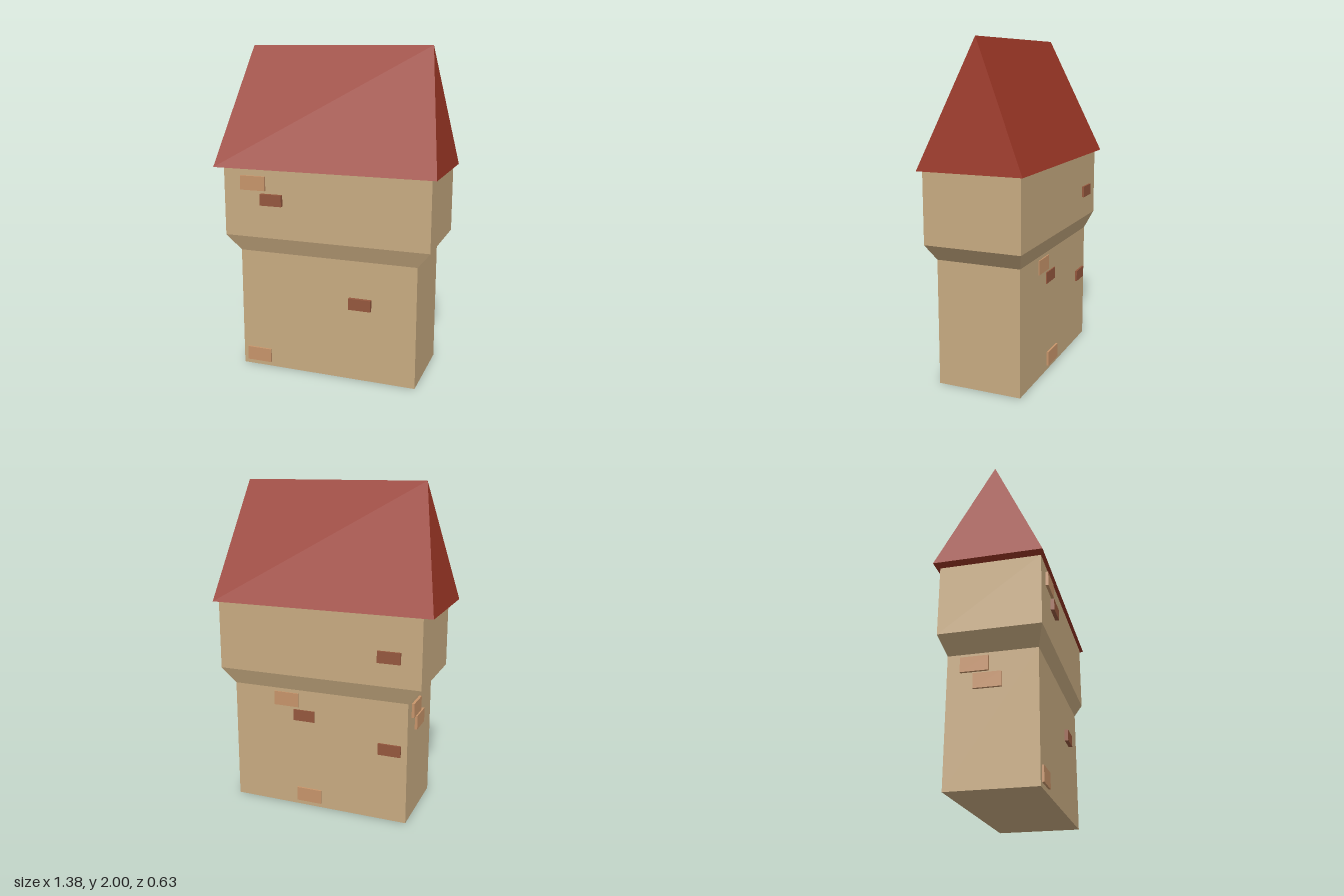
import * as THREE from 'three';

const mat = (color) => new THREE.MeshStandardMaterial({ color, flatShading: true });

// Closed solid through stacked rectangles [y, xMin, xMax, zHalf]
function loft(sections) {
  const pos = [], idx = [];
  for (const [y, x0, x1, z] of sections) pos.push(x0, y, z, x1, y, z, x1, y, -z, x0, y, -z);
  const top = (sections.length - 1) * 4;
  for (let s = 0; s < top; s += 4) {
    for (let i = 0; i < 4; i++) {
      const a = s + i, b = s + (i + 1) % 4;
      idx.push(a, b, b + 4, a, b + 4, a + 4);
    }
  }
  idx.push(0, 2, 1, 0, 3, 2, top, top + 1, top + 2, top, top + 2, top + 3);
  const indexed = new THREE.BufferGeometry();
  indexed.setAttribute('position', new THREE.Float32BufferAttribute(pos, 3));
  indexed.setIndex(idx);
  const geo = indexed.toNonIndexed();
  geo.computeVertexNormals();
  return geo;
}

export function createModel() {
  const house = new THREE.Group();
  house.name = 'house';
  const wall = mat(0xc9ac82), roofRed = mat(0x9b3625);
  const lightBrick = mat(0xc8956b), darkBrick = mat(0x96583e);

  const add = (name, geo, material) => {
    const mesh = new THREE.Mesh(geo, material);
    mesh.name = name;
    house.add(mesh);
    return mesh;
  };

  // Walls: narrow lower storey flaring out to the overhanging upper storey
  add('walls', loft([
    [0, -0.545, 0.58, 0.257],
    [0.755, -0.545, 0.58, 0.257],
    [0.855, -0.63, 0.66, 0.295],
    [1.28, -0.63, 0.66, 0.295],
  ]), wall);

  // Hipped roof closing to a ridge line
  add('roof', loft([
    [1.277, -0.692, 0.69, 0.317],
    [2, -0.55, 0.58, 0],
  ]), roofRed);

  // Proud bricks: [name, material, width, height, depth, x, y, z], set half into the wall
  const L = [0.16, 0.087], D = [0.14, 0.07];
  const brick = (name, light, x, y, face, proud, side) => {
    const [w, h] = light ? L : D;
    const depth = proud * 2;
    const onSide = side === 'right';
    const geo = onSide ? new THREE.BoxGeometry(depth, h, w) : new THREE.BoxGeometry(w, h, depth);
    const mesh = add(name, geo, light ? lightBrick : darkBrick);
    if (onSide) mesh.position.set(-face, y, x);
    else mesh.position.set(x, y, side === 'front' ? face : -face);
  };

  // Front
  brick('frontUpperLightBrick', true, -0.435, 1.192, 0.295, 0.016, 'front');
  brick('frontUpperDarkBrick', false, -0.315, 1.095, 0.295, 0.022, 'front');
  brick('frontLowerDarkBrick', false, 0.235, 0.49, 0.257, 0.022, 'front');
  brick('frontLowerLightBrick', true, -0.435, 0.072, 0.257, 0.012, 'front');
  // Back
  brick('backUpperDarkBrick', false, -0.437, 1.032, 0.295, 0.014, 'back');
  brick('backMiddleLightBrick', true, 0.23, 0.69, 0.257, 0.007, 'back');
  brick('backMiddleDarkBrick', false, 0.113, 0.595, 0.257, 0.007, 'back');
  brick('backLowerDarkBrick', false, -0.437, 0.455, 0.257, 0.012, 'back');
  brick('backLowerLightBrick', true, 0.08, 0.072, 0.257, 0.012, 'back');
  // Right end
  brick('rightEndUpperBrick', true, -0.1, 0.69, 0.545, 0.016, 'right');
  brick('rightEndLowerBrick', true, -0.025, 0.59, 0.545, 0.016, 'right');

  return house;
}
